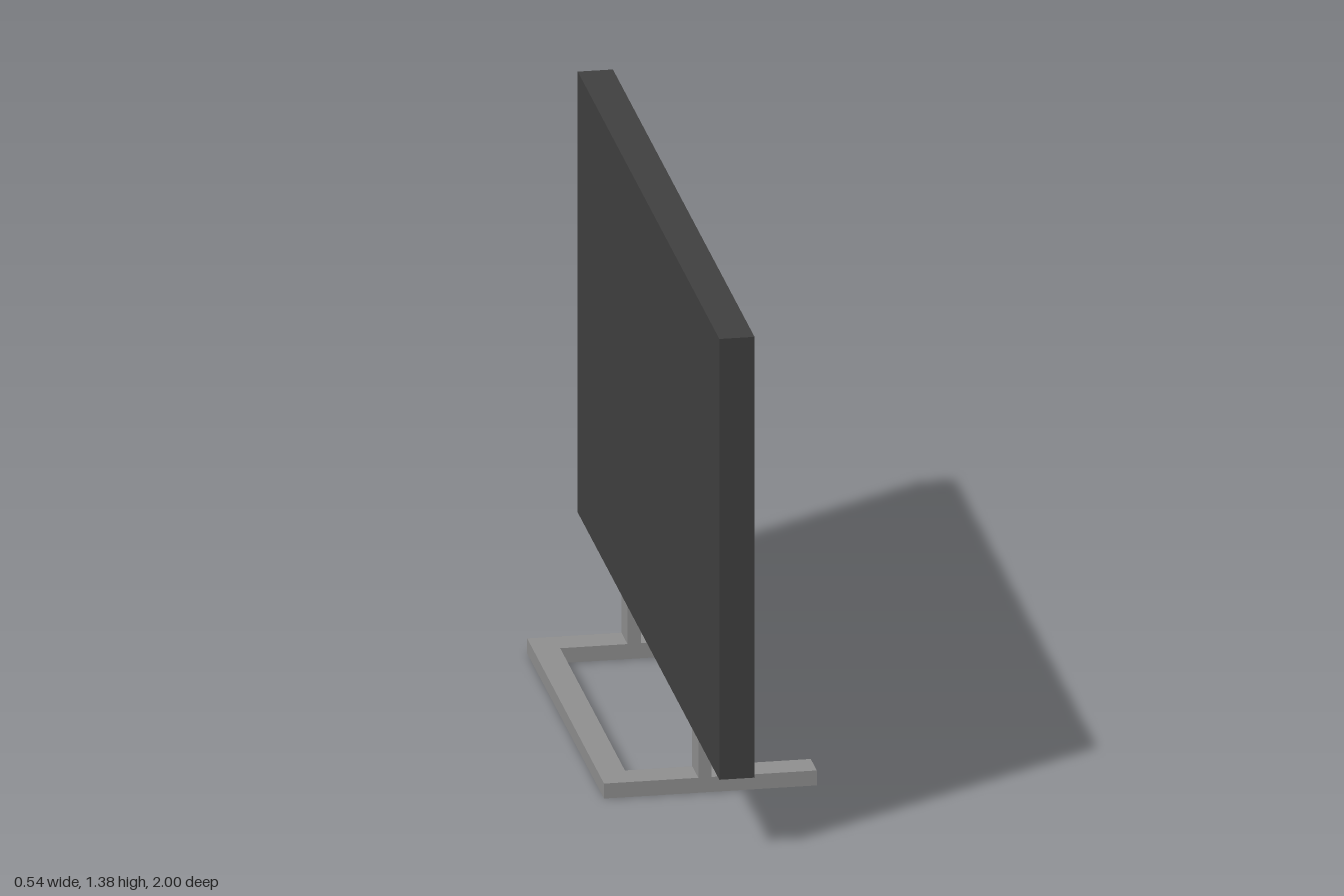
import * as THREE from 'three';

const mat = (name, color) => {
  const m = new THREE.MeshStandardMaterial({ color });
  m.name = name;
  return m;
};

export function createModel() {
  const casing = mat('charcoal casing', 0x404040);
  const glass = mat('black screen', 0x0e0e0e);
  const metal = mat('grey stand', 0x909090);
  const olive = mat('dark olive underside', 0x3c370a);
  const group = new THREE.Group();

  const add = (name, geometry, material) => {
    const mesh = new THREE.Mesh(geometry, material);
    mesh.name = name;
    group.add(mesh);
    return mesh;
  };
  // Box given by its limits on each axis
  const box = (name, material, [x0, x1], [y0, y1], [z0, z1]) => {
    const mesh = add(name, new THREE.BoxGeometry(x1 - x0, y1 - y0, z1 - z0), material);
    mesh.position.set((x0 + x1) / 2, (y0 + y1) / 2, (z0 + z1) / 2);
    return mesh;
  };
  const rect = (path, w, y0, y1) => {
    path.moveTo(-w, y0);
    path.lineTo(w, y0);
    path.lineTo(w, y1);
    path.lineTo(-w, y1);
    path.closePath();
    return path;
  };

  // Casing: solid back, and a bezel around the recessed screen, facing +x
  box('backPanel', casing, [-0.06, -0.02], [0.2, 1.38], [-1, 1]);
  const frame = rect(new THREE.Shape(), 1, 0.2, 1.38);
  frame.holes.push(rect(new THREE.Path(), 0.89, 0.27, 1.315));
  const bezel = add('bezel', new THREE.ExtrudeGeometry(frame, { depth: 0.05, bevelEnabled: false }), casing);
  bezel.rotation.y = Math.PI / 2;
  bezel.position.x = -0.02;
  box('screen', glass, [-0.022, -0.017], [0.27, 1.315], [-0.89, 0.89]);

  // Control buttons
  box('powerButton', casing, [0.03, 0.05], [0.22, 0.256], [-0.86, -0.822]);
  for (const z of [-0.79, -0.752]) {
    box('smallButton', casing, [0.03, 0.041], [0.229, 0.246], [z - 0.009, z + 0.009]);
  }

  for (const s of [1, -1]) {
    // Shallow taper from half of the casing down to the leg
    const geo = new THREE.BoxGeometry(1, 1, 1);
    const p = geo.attributes.position;
    for (let i = 0; i < p.count; i++) {
      const top = p.getY(i) > 0;
      const xSide = p.getX(i) * 2, zSide = p.getZ(i) * 2;
      p.setXYZ(i,
        -0.014 + xSide * (top ? 0.045 : 0.017),
        top ? 0.2 : 0.18,
        s * 0.5 + zSide * (top ? 0.5 : 0.043));
    }
    geo.computeVertexNormals();
    const sides = Array(6).fill(casing);
    sides[s > 0 ? 5 : 4] = olive;
    add('legTaper', geo, sides);

    // Leg and foot bar
    const z = [s * 0.5 - 0.043, s * 0.5 + 0.043];
    box('leg', metal, [-0.031, 0.003], [0.04, 0.18], z);
    box('footBar', metal, [-0.272, 0.272], [0, 0.04], z);
  }
  // Bar joining the feet behind the screen
  box('rearBar', metal, [-0.272, -0.203], [0, 0.04], [-0.457, 0.457]);

  return group;
}
